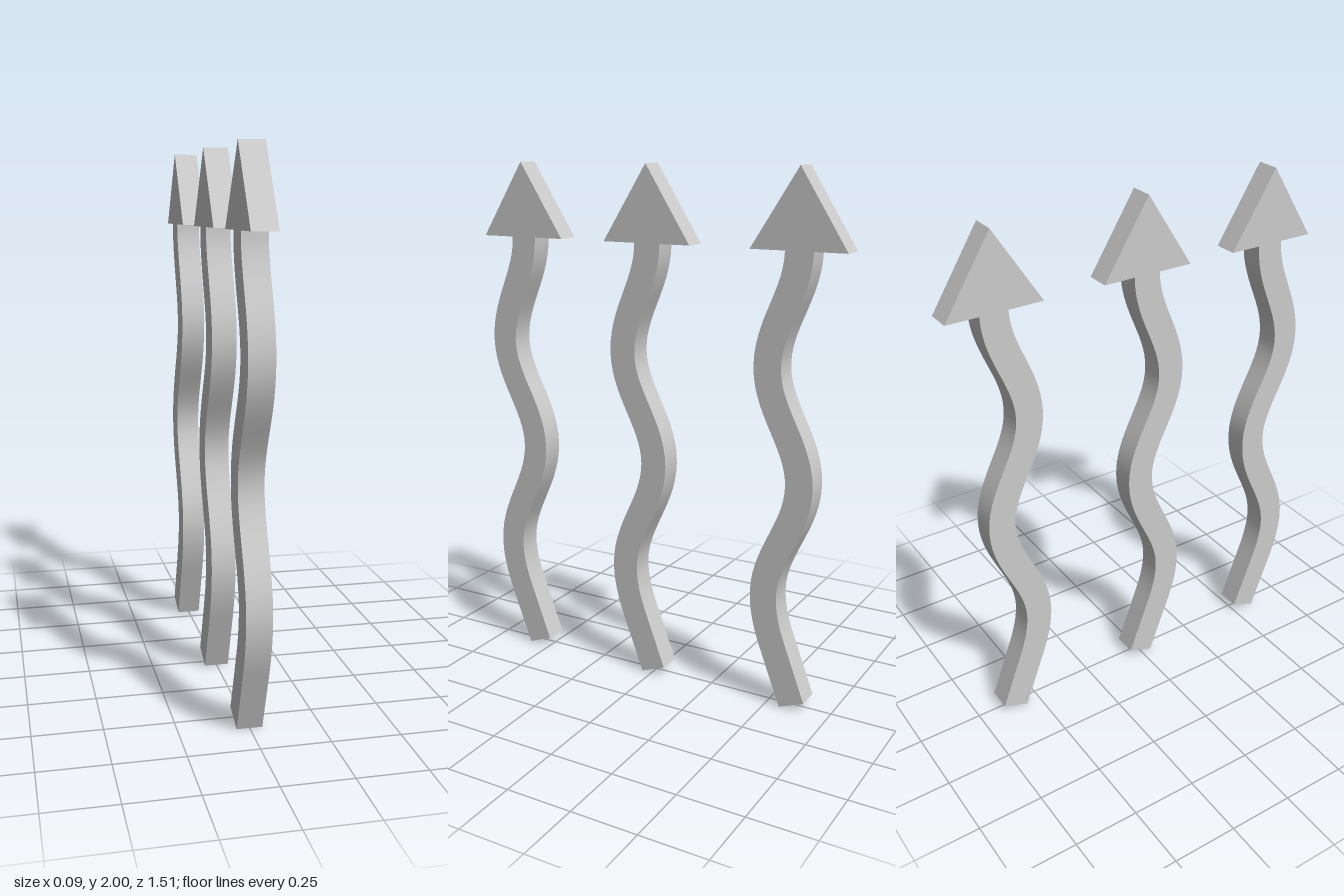
import * as THREE from 'three';
import { toCreasedNormals } from 'three/addons/utils/BufferGeometryUtils.js';

const THICK = 0.092, HALF_WIDTH = 0.053;
const HEAD_BASE = 1.715, HEAD_HALF = 0.181;

// Wavy centre line of the shaft, from its slanted foot to the head
function shaftPath() {
  const v = (x, y) => new THREE.Vector2(x, y);
  const path = new THREE.CurvePath();
  const foot = v(-0.03, 0.0185), bend = v(0.055, 0.244);
  path.add(new THREE.LineCurve(foot, bend));
  path.add(new THREE.CubicBezierCurve(bend, v(0.077, 0.302), v(0.097, 0.37), v(0.097, 0.44)));
  // half waves between the turning points, upright at both ends
  const turns = [[0.097, 0.44], [-0.032, 0.875], [0.103, 1.305], [-0.005, HEAD_BASE]];
  for (let i = 0; i < 3; i++) {
    const [x0, y0] = turns[i], [x1, y1] = turns[i + 1], h = (y1 - y0) * 0.37;
    path.add(new THREE.CubicBezierCurve(v(x0, y0), v(x0, y0 + h), v(x1, y1 - h), v(x1, y1)));
  }
  return path;
}

// Arrow outline: shaft edges offset from the centre line, closed by the head
function arrowGeometry() {
  const left = [], right = [];
  shaftPath().curves.forEach((curve, k) => {
    const n = k === 0 ? 1 : 14;
    for (let i = k === 0 ? 0 : 1; i <= n; i++) {
      const p = curve.getPoint(i / n), t = curve.getTangent(i / n);
      const side = new THREE.Vector2(t.y, -t.x).multiplyScalar(HALF_WIDTH);
      right.push(p.clone().add(side));
      left.push(p.clone().sub(side));
    }
  });
  const head = [[HEAD_HALF, HEAD_BASE], [0, 2], [-HEAD_HALF, HEAD_BASE]].map(([x, y]) => new THREE.Vector2(x, y));
  const shape = new THREE.Shape([...right, ...head, ...left.reverse()]);
  const geo = new THREE.ExtrudeGeometry(shape, { depth: THICK, bevelEnabled: false });
  geo.translate(0, 0, -THICK / 2);
  geo.rotateY(-Math.PI / 2); // outline lies in the zy plane
  return toCreasedNormals(geo, 0.5);
}

export function createModel() {
  const group = new THREE.Group();
  group.name = 'wavyArrows';
  const material = new THREE.MeshStandardMaterial({ color: 0xcccccc });
  const geometry = arrowGeometry();
  // Three equal arrows in a row, unevenly spaced
  [['frontArrow', 0.575], ['middleArrow', 0.022], ['backArrow', -0.577]].forEach(([name, z]) => {
    const arrow = new THREE.Mesh(geometry, material);
    arrow.name = name;
    arrow.position.z = z;
    group.add(arrow);
  });
  return group;
}
